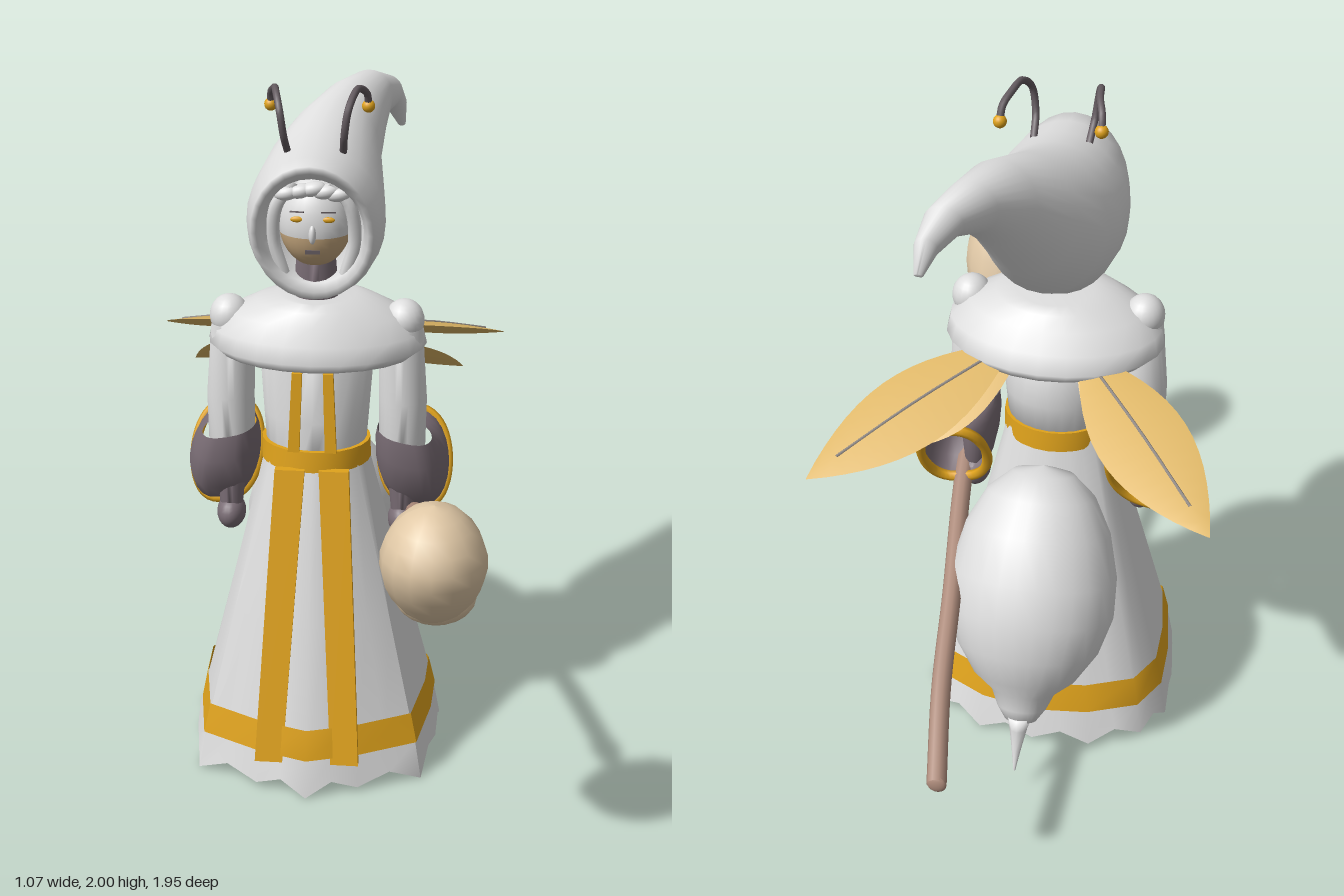
import * as THREE from 'three';
import { toCreasedNormals } from 'three/addons/utils/BufferGeometryUtils.js';

const V = (x, y, z) => new THREE.Vector3(x, y, z);
const mat = (name, color) => new THREE.MeshStandardMaterial({ name, color, side: THREE.DoubleSide });

// Skin through cross-sections; each ring runs counter-clockwise about the sweep direction
function loft(rings, { caps = true, crease = 0 } = {}) {
  const n = rings[0].length, pts = rings.flat(), idx = [];
  for (let i = 0; i < rings.length - 1; i++)
    for (let j = 0; j < n; j++) {
      const a = i * n + j, b = i * n + (j + 1) % n;
      idx.push(a, b, b + n, a, b + n, a + n);
    }
  if (caps) {
    const e = (rings.length - 1) * n;
    for (let j = 1; j < n - 1; j++) idx.push(0, j + 1, j, e, e + j, e + j + 1);
  }
  const g = new THREE.BufferGeometry().setFromPoints(pts);
  g.setIndex(idx);
  g.computeVertexNormals();
  return crease ? toCreasedNormals(g, crease) : g;
}

// Level ellipse, for sweeping upward
const level = (y, rx, rz, cz = 0, cx = 0, n = 24) => Array.from({ length: n }, (_, j) => {
  const a = j / n * Math.PI * 2;
  return V(cx + rx * Math.sin(a), y, cz + rz * Math.cos(a));
});

// Ellipse spanned by its top and bottom (z, y), for sweeping backward
const upright = ([zt, yt, zb, yb, w, cx = 0], n = 28) => Array.from({ length: n }, (_, j) => {
  const a = j / n * Math.PI * 2, c = Math.cos(a);
  return V(cx + w * Math.sin(a), (yt + yb) / 2 + c * (yt - yb) / 2, (zt + zb) / 2 + c * (zt - zb) / 2);
});

// Sleeve section: front (z, y), back (z, y), half width, centre x; slightly boxy, outer side lower
const cuff = ([zf, yf, zb, yb, w, cx], n = 24) => Array.from({ length: n }, (_, j) => {
  const a = j / n * Math.PI * 2, c = Math.cos(a), s = Math.sign(Math.sin(a)) * Math.abs(Math.sin(a)) ** 0.75;
  return V(cx - w * s, (yf + yb) / 2 + c * (yf - yb) / 2 + w * .2 * s, (zf + zb) / 2 + c * (zf - zb) / 2);
});

// Flat tapered strip facing +z, from bottom to top
function strip(x0, y0, z0, w0, x1, y1, z1, w1, t) {
  const sec = (x, y, z, w) => [V(x - w, y, z + t), V(x + w, y, z + t), V(x + w, y, z - t), V(x - w, y, z - t)];
  return loft([sec(x0, y0, z0, w0), sec(x1, y1, z1, w1)], { crease: 0.5 });
}

const tube = (pts, r, seg = 28, sides = 10) =>
  new THREE.TubeGeometry(new THREE.CatmullRomCurve3(pts), seg, r, sides, false);

export function createModel() {
  const model = new THREE.Group();
  const cloth = mat('white cloth', 0xdedede), gold = mat('gold trim', 0xe0a31c),
    wingGold = mat('pale gold wing', 0xdfb766), purple = mat('dull purple', 0x7a6d75),
    dark = mat('dark horn', 0x645b60), wood = mat('brown wood', 0xae8c7c),
    bone = mat('bone', 0xe0c8a6), skin = mat('tan skin', 0xc9aa80), grey = mat('grey vein', 0x98918c);
  const add = (parent, name, geo, material) => {
    const m = new THREE.Mesh(geo, material);
    m.name = name;
    parent.add(m);
    return m;
  };
  const ball = (parent, name, material, x, y, z, rx, ry = rx, rz = rx) => {
    const m = add(parent, name, new THREE.SphereGeometry(1, 20, 14), material);
    m.position.set(x, y, z);
    m.scale.set(rx, ry, rz);
    return m;
  };

  // Skirt: a cornered outline widening from waist to hem
  const mirror = h => [...h, ...h.slice(1, -1).reverse().map(([x, z]) => [-x, z])];
  const hem = mirror([[0, .36], [.14, .315], [.31, .23], [.345, .03], [.352, -.12], [.3, -.23], [.16, -.295], [0, -.32]]);
  const waist = mirror([[0, .155], [.06, .145], [.12, .1], [.143, .03], [.14, -.03], [.12, -.07], [.06, -.1], [0, -.11]]);
  const outline = (y, k = 1) => hem.map(([hx, hz], i) => {
    const t = (y - .12) / .85;
    return V(k * (hx + (waist[i][0] - hx) * t), y, k * (hz + (waist[i][1] - hz) * t));
  });
  // Doubling the corners lets the bottom edge zigzag
  const fine = (ring, jag = 0) => ring.flatMap((p, i) => {
    const q = p.clone().lerp(ring[(i + 1) % ring.length], .5);
    return [p.clone().setY(p.y - (i % 2 ? jag * .5 : jag)), q.setY(q.y + jag * .5)];
  });
  add(model, 'skirt', loft([fine(outline(.035), .03), fine(outline(.12)), fine(outline(.5)), fine(outline(.97))],
    { caps: false, crease: .8 }), cloth);
  add(model, 'hemBand', loft([outline(.12, 1.012), outline(.21, 1.018)], { caps: false, crease: .8 }), gold);

  // Torso, belt and gold strips
  add(model, 'torso', loft([level(.94, .14, .125, .02), level(1.08, .15, .13, .015), level(1.3, .165, .125, 0)]), cloth);
  add(model, 'belt', loft([level(.94, .157, .143, .02), level(1, .155, .138, .02)], { crease: .9 }), gold);
  for (const s of [-1, 1]) {
    add(model, 'sash', strip(s * .11, .1, .332, .04, s * .062, .95, .16, .042, .012), gold);
    add(model, 'chestStrip', strip(s * .052, 1, .148, .016, s * .043, 1.23, .135, .014, .01), gold);
  }

  // Shoulder cape with neck
  add(model, 'cape', loft([level(1.28, .17, .13, -.01), level(1.252, .28, .213, -.018), level(1.275, .308, .222, -.018),
    level(1.32, .298, .2, -.012), level(1.37, .245, .168, -.005), level(1.405, .17, .145, 0), level(1.422, .11, .12, 0)]), cloth);
  add(model, 'neck', loft([level(1.38, .065, .065, .01), level(1.53, .055, .055, .03)]), purple);

  // Arms with flared sleeves
  for (const s of [-1, 1]) {
    const arm = new THREE.Group();
    arm.name = s > 0 ? 'leftArm' : 'rightArm';
    arm.scale.x = s;
    model.add(arm);
    ball(arm, 'shoulderKnob', cloth, .245, 1.35, .01, .056, .06, .058);
    add(arm, 'upperArm', loft([level(.96, .066, .066, .01, .245), level(1.12, .068, .068, .015, .245),
      level(1.33, .062, .066, .01, .235)]), cloth);
    const rim = cuff([-.055, .755, -.185, 1.01, .098, .278]);
    add(arm, 'sleeve', loft([...[[.082, 1.005, -.06, 1.02, .078, .252], [.088, .93, -.09, 1.02, .094, .262],
      [.065, .84, -.13, 1.015, .104, .272], [.01, .785, -.16, 1.015, .104, .276]].map(r => cuff(r)), rim],
      { caps: false }), purple);
    add(arm, 'sleeveTrim', new THREE.TubeGeometry(new THREE.CatmullRomCurve3(rim, true), 48, .015, 6, true), gold);
    add(arm, 'forearm', loft([level(.76, .032, .035, .015, .25), level(.97, .05, .05, .01, .245)]), purple);
    ball(arm, 'hand', purple, .25, .745, .015, .042, .05, .06);
  }

  // Hood drawn back into a drooping point; the first sections line the opening
  add(model, 'hood', loft([[.04, 1.76, .0, 1.48, .13], [.165, 1.785, .09, 1.475, .138], [.21, 1.81, .1, 1.45, .15],
    [.22, 1.832, .09, 1.428, .165], [.15, 1.84, .05, 1.42, .18], [.07, 1.847, .0, 1.422, .19],
    [-.02, 1.86, -.07, 1.43, .185], [-.1, 1.88, -.17, 1.49, .17, .005], [-.2, 1.915, -.27, 1.6, .135, .025],
    [-.32, 1.95, -.35, 1.72, .1, .07], [-.45, 1.95, -.43, 1.8, .07, .11], [-.53, 1.92, -.51, 1.825, .05, .155],
    [-.585, 1.86, -.56, 1.795, .03, .185], [-.603, 1.77, -.59, 1.755, .012, .2]].map(r => upright(r))), cloth);

  // Head: pale upper face, tan lower face
  const split = Math.PI * .57;
  [['upperFace', 0, split, cloth], ['lowerFace', split, Math.PI - split, skin]].forEach(([name, start, span, m]) => {
    const face = add(model, name, new THREE.SphereGeometry(1, 24, 10, 0, Math.PI * 2, start, span), m);
    face.position.set(0, 1.64, .05);
    face.scale.set(.1, .125, .09);
  });
  ball(model, 'nose', cloth, 0, 1.625, .138, .01, .026, .014);
  add(model, 'mouth', new THREE.BoxGeometry(.04, .01, .008), dark).position.set(0, 1.575, .13);
  for (const s of [-1, 1]) {
    ball(model, 'eye', gold, s * .042, 1.665, .13, .018, .008, .006);
    const brow = add(model, 'brow', new THREE.BoxGeometry(.04, .004, .008), dark);
    brow.position.set(s * .042, 1.684, .125);
    brow.rotation.set(-.2, s * .35, 0);
    add(model, 'sideLock', tube([V(s * .05, 1.765, .11), V(s * .098, 1.7, .11), V(s * .11, 1.6, .09),
      V(s * .085, 1.5, .08)], .018, 16, 8), cloth);
  }
  for (let i = -2; i <= 2; i++)
    ball(model, 'fringe', cloth, i * .035, 1.745 - Math.abs(i) * .006, .115, .036, .02, .024).rotation.z = .2;

  // Antennae
  for (const s of [-1, 1]) {
    add(model, 'antenna', tube([V(s * .075, 1.83, .05), V(s * .08, 1.88, .095), V(s * .09, 1.95, .1),
      V(s * .105, 1.99, .05), V(s * .115, 1.988, -.01), V(s * .13, 1.965, -.055), V(s * .133, 1.935, -.072)], .01, 30, 8), dark);
    ball(model, 'antennaTip', gold, s * .133, 1.928, -.073, .018);
  }

  // Wings: lens-shaped blades sloping down and back
  function wing(name, s, root, tip, y0, slope, width) {
    const dx = tip[0] - root[0], dz = tip[1] - root[1], len = Math.hypot(dx, dz);
    const at = (t, w, lift) => {
      const z = root[1] + dz * t + w * dx / len;
      return V(s * (root[0] + dx * t - w * dz / len), y0 + slope * (z - root[1]) + lift, z);
    };
    const rings = Array.from({ length: 15 }, (_, i) => {
      const t = i / 14, w = Math.max(.01, Math.sin(Math.PI * (.06 + .94 * t)) ** .9);
      const r = [at(t, w * width, 0), at(t, 0, .018 * w), at(t, -w * width, 0), at(t, 0, -.018 * w)];
      return s > 0 ? r : r.reverse();
    });
    add(model, name, loft(rings, { crease: .8 }), wingGold);
    add(model, 'wingVein', tube([at(.1, 0, .01), at(.45, 0, .018), at(.85, 0, .009)], .0045, 6, 5), grey);
  }
  for (const s of [-1, 1]) {
    wing('upperWing', s, [.12, -.15], [.535, -.605], 1.28, .386, .12);
    wing('lowerWing', s, [.1, -.12], [.41, -.385], 1.24, .65, .085);
  }

  // Abdomen hanging behind, with a stinger
  const profile = [[0, 0], [.085, .02], [.15, .08], [.2, .18], [.23, .31], [.232, .42], [.2, .53], [.145, .62],
    [.09, .67], [.07, .72], [.045, .76], [0, .775]].map(([r, h]) => new THREE.Vector2(r, .775 - h)).reverse();
  const abdomen = add(model, 'abdomen', new THREE.LatheGeometry(profile, 28), cloth);
  abdomen.position.set(0, .21, -.475);
  abdomen.scale.set(1.04, 1, .92);
  abdomen.rotation.x = Math.atan2(.32, .72);
  add(model, 'stinger', loft([level(.09, .003, .003, -.548, 0, 10), level(.15, .014, .014, -.52, 0, 10),
    level(.21, .027, .027, -.49, 0, 10), level(.25, .04, .04, -.475, 0, 10)]), cloth);

  // Staff with binding rings
  const path = new THREE.CatmullRomCurve3([V(.33, .938, .64), V(.31, .865, .35), V(.28, .765, 0),
    V(.2, .63, -.45), V(.155, .54, -.72), V(.1, .44, -.965)]);
  const rod = add(model, 'staff', new THREE.TubeGeometry(path, 40, .027, 10), wood);
  for (const t of [0, 1]) ball(rod, 'staffEnd', wood, ...path.getPoint(t).toArray(), .027, .027, .012);
  for (let i = 0; i < 4; i++) {
    const t = .035 + i * .014, ring = add(model, 'staffBinding', new THREE.TorusGeometry(.027, .008, 6, 14), wood);
    ring.position.copy(path.getPoint(t));
    ring.quaternion.setFromUnitVectors(V(0, 0, 1), path.getTangent(t));
  }

  // Bone head: a sphere whose lower part narrows and leans back to a jaw
  const skull = new THREE.SphereGeometry(1, 16, 12), p = skull.attributes.position;
  for (let i = 0; i < p.count; i++) {
    const y = p.getY(i), low = Math.max(0, .2 - y);
    p.setXYZ(i, p.getX(i) * .135 * (1 - .1 * low), y * .168, p.getZ(i) * .15 - .06 * low);
  }
  skull.computeVertexNormals();
  add(model, 'boneHead', skull, bone).position.set(.36, 1.003, .832);
  ball(model, 'boneJaw', bone, .365, .895, .755, .105, .075, .085).rotation.x = .4;
  return model;
}
